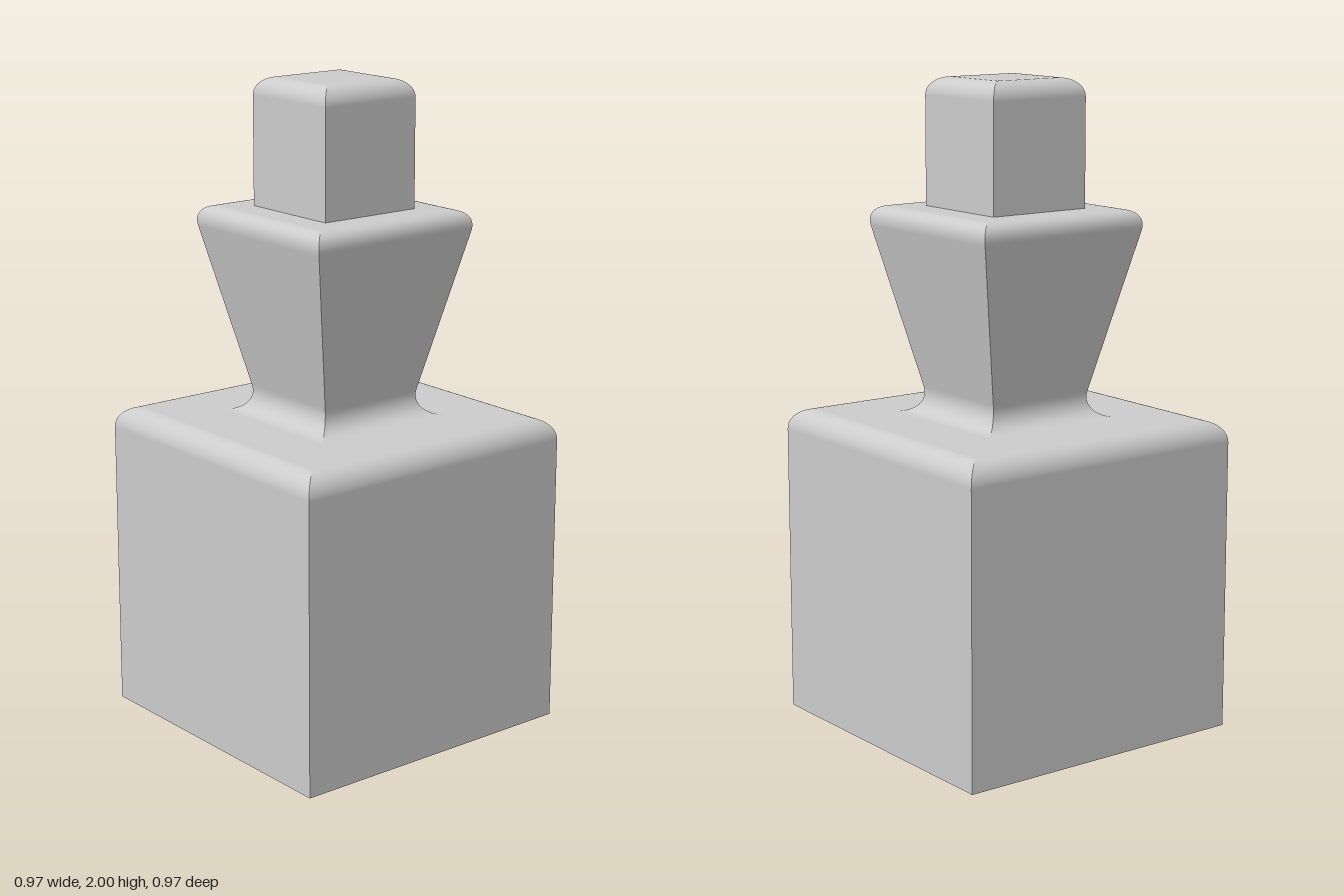
import * as THREE from 'three';
import { mergeGeometries } from 'three/addons/utils/BufferGeometryUtils.js';

const material = new THREE.MeshStandardMaterial({ color: 0xcccccc });

// Rounds a corner of the profile, from start to end, with a smooth curve.
function roundCorner(path, start, corner, end, k = 0.56) {
  const mix = (a, b) => a + (b - a) * k;
  path.lineTo(...start);
  path.bezierCurveTo(
    mix(start[0], corner[0]), mix(start[1], corner[1]),
    mix(end[0], corner[0]), mix(end[1], corner[1]), ...end);
}

// Sweeps a (half width, height) profile around a square, with sharp mitred corners.
function squareLathe(name, path) {
  const points = path.getPoints(12);
  const positions = [];
  const index = [];
  points.forEach(({ x: r, y }, i) => {
    positions.push(-r, y, r, r, y, r);
    if (i === 0) return;
    const a = 2 * i - 2;
    index.push(a, a + 1, a + 3, a, a + 3, a + 2);
  });
  const side = new THREE.BufferGeometry();
  side.setAttribute('position', new THREE.Float32BufferAttribute(positions, 3));
  side.setIndex(index);
  side.computeVertexNormals();
  const sides = [0, 1, 2, 3].map((n) => side.clone().rotateY(n * Math.PI / 2));
  const mesh = new THREE.Mesh(mergeGeometries(sides), material);
  mesh.name = name;
  return mesh;
}

export function createModel() {
  const group = new THREE.Group();
  group.name = 'squareBottle';

  // Cubic body with a rounded shoulder
  const body = new THREE.Path().moveTo(0.484, 0);
  roundCorner(body, [0.484, 0.905], [0.484, 0.972], [0.417, 0.972]);
  body.lineTo(0.243, 0.972);
  group.add(squareLathe('body', body));

  // Flared neck: fillet at the foot, rounded rim at the top
  const neck = new THREE.Path().moveTo(0.243, 0.972);
  roundCorner(neck, [0.243, 0.972], [0.161, 0.972], [0.179, 1.052]);
  roundCorner(neck, [0.292, 1.548], [0.306, 1.611], [0.243, 1.611], 0.6);
  neck.lineTo(0.171, 1.611);
  group.add(squareLathe('neck', neck));

  // Square stopper with a rounded top edge
  const stopper = new THREE.Path().moveTo(0.171, 1.611);
  roundCorner(stopper, [0.171, 1.945], [0.171, 2], [0.116, 2]);
  stopper.lineTo(0, 2);
  group.add(squareLathe('stopper', stopper));

  // Flat underside
  const underside = new THREE.Mesh(
    new THREE.PlaneGeometry(0.968, 0.968).rotateX(Math.PI / 2), material);
  underside.name = 'underside';
  group.add(underside);

  return group;
}
